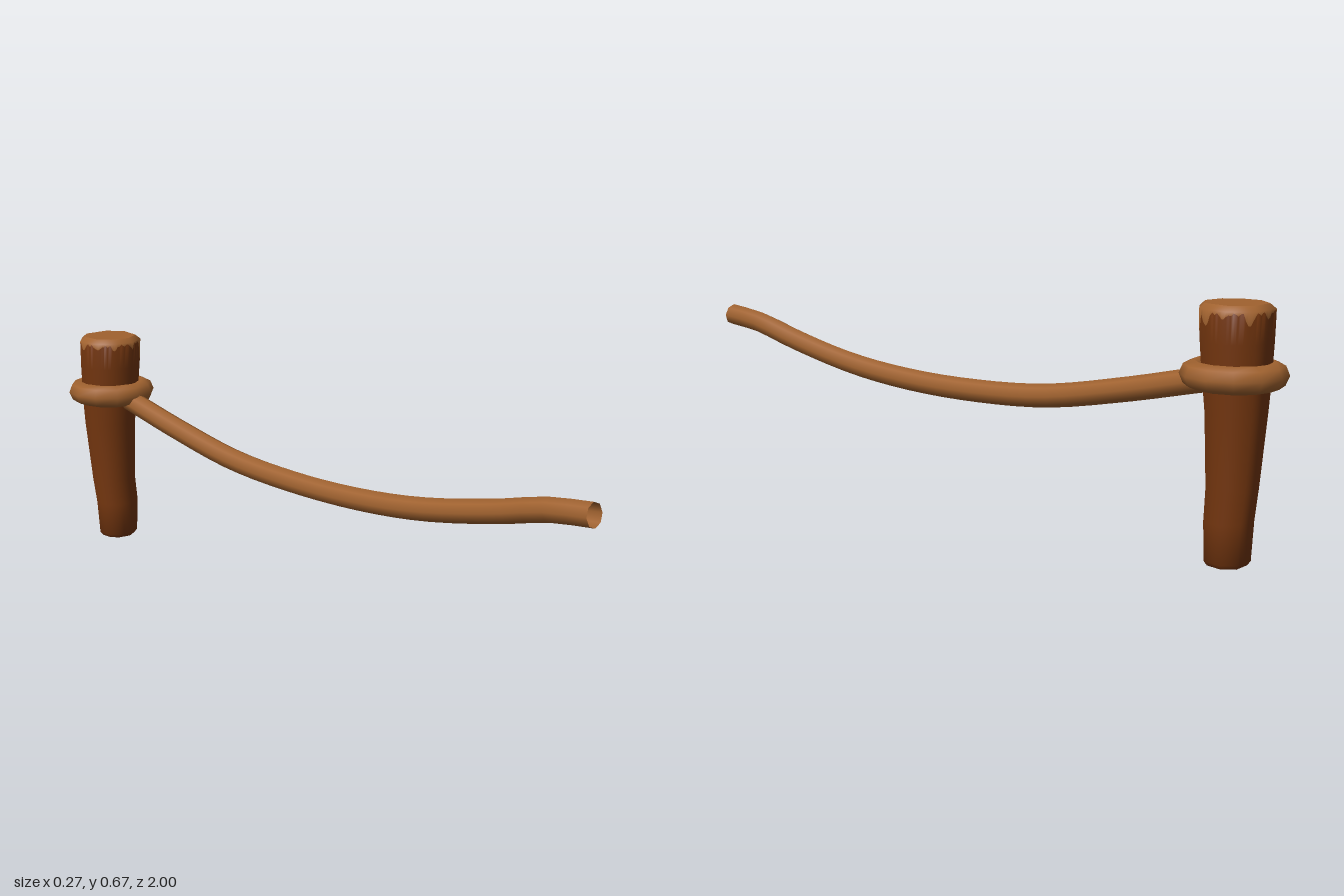
import * as THREE from 'three';

const POST_Z = -0.863;
// Post profile: height, centre x, half width, half depth
const PROFILE = [
  [0, 0.007, 0.052, 0.05], [0.012, 0.007, 0.061, 0.058], [0.115, 0.006, 0.067, 0.062],
  [0.2, -0.005, 0.068, 0.066], [0.39, -0.012, 0.08, 0.078], [0.45, -0.01, 0.085, 0.083],
  [0.52, -0.006, 0.09, 0.088], [0.62, -0.002, 0.096, 0.094], [0.652, -0.001, 0.095, 0.094],
  [0.665, 0, 0.078, 0.08],
];
// Uneven corner angles of the hewn post, in degrees from the front
const CORNERS = [8, 53, 106, 150, 207, 251, 292, 325];
const PER_SIDE = 12;

// Unit outline: straight sides between the corners
const outline = [];
CORNERS.forEach((deg, i) => {
  const a = THREE.MathUtils.degToRad(deg);
  const b = THREE.MathUtils.degToRad(CORNERS[(i + 1) % 8]);
  for (let k = 0; k < PER_SIDE; k++) {
    const p = new THREE.Vector2(Math.sin(a), Math.cos(a));
    outline.push(p.lerp(new THREE.Vector2(Math.sin(b), Math.cos(b)), k / PER_SIDE));
  }
});
const COUNT = outline.length;

function profileAt(y) {
  let i = 0;
  while (i < PROFILE.length - 2 && y > PROFILE[i + 1][0]) i++;
  const p = PROFILE[i], q = PROFILE[i + 1];
  const t = (y - p[0]) / (q[0] - p[0]);
  return p.map((v, k) => v + (q[k] - v) * t);
}

function postPoint(j, y) {
  const [, cx, rx, rz] = profileAt(y);
  const p = outline[j % COUNT];
  return new THREE.Vector3(cx + p.x * rx * 1.03, y, p.y * rz * 1.03);
}

// Skin between rows; each row gives a height for every outline point
function skin(rows) {
  const pos = [], nor = [], index = [];
  rows.forEach((row, r) => {
    for (let j = 0; j <= COUNT; j++) {
      const y = row(j % COUNT);
      const p = postPoint(j, y);
      const lo = profileAt(Math.max(y - 0.01, 0)), hi = profileAt(Math.min(y + 0.01, 0.665));
      const slope = (hi[2] - lo[2]) / (hi[0] - lo[0]);
      const o = outline[j % COUNT].clone().normalize();
      const n = new THREE.Vector3(o.x, -slope, o.y).normalize();
      pos.push(p.x, p.y, p.z);
      nor.push(n.x, n.y, n.z);
      if (r > 0 && j < COUNT) {
        const a = (r - 1) * (COUNT + 1) + j, b = a + COUNT + 1;
        index.push(a, a + 1, b + 1, a, b + 1, b);
      }
    }
  });
  const g = new THREE.BufferGeometry();
  g.setAttribute('position', new THREE.Float32BufferAttribute(pos, 3));
  g.setAttribute('normal', new THREE.Float32BufferAttribute(nor, 3));
  g.setIndex(index);
  return g;
}

// Flat end of the post
function endCap(y, up) {
  const shape = new THREE.Shape(outline.map((_, j) => {
    const p = postPoint(j, y);
    return new THREE.Vector2(p.x, up ? -p.z : p.z);
  }));
  return new THREE.ShapeGeometry(shape).rotateX(up ? -Math.PI / 2 : Math.PI / 2).translate(0, y, 0);
}

// Ragged lower edge of the bare wood: angle, half width (degrees), length
const DRIPS = [
  [12, 6, 0.018], [51, 6, 0.065], [66, 9, 0.035], [100, 7, 0.014], [141, 7, 0.032],
  [185, 8, 0.018], [222, 9, 0.03], [262, 7, 0.02], [300, 8, 0.012], [332, 7, 0.016],
];
function raggedEdge(j) {
  const deg = THREE.MathUtils.radToDeg(Math.atan2(outline[j].x, outline[j].y));
  let y = 0.645 + 0.004 * Math.sin(j * 1.9);
  for (const [a, w, len] of DRIPS) {
    const d = Math.abs(THREE.MathUtils.euclideanModulo(deg - a + 180, 360) - 180);
    if (d < w) y = Math.min(y, 0.645 - len * Math.sqrt(1 - d / w));
  }
  return y;
}

export function createModel() {
  const barkBrown = new THREE.MeshStandardMaterial({ color: 0x74360f });
  const ropeBrown = new THREE.MeshStandardMaterial({ color: 0xa0622f, side: THREE.DoubleSide });
  const model = new THREE.Group();
  const add = (parent, name, geometry, material) => {
    const mesh = new THREE.Mesh(geometry, material);
    mesh.name = name;
    parent.add(mesh);
    return mesh;
  };

  // Post with dark sides and a bare top
  const post = new THREE.Group();
  post.name = 'post';
  post.position.z = POST_Z;
  model.add(post);
  const barkRows = PROFILE.slice(0, 7).map(([y]) => () => y);
  add(post, 'postSides', skin([...barkRows, () => 0.57, raggedEdge]), barkBrown);
  add(post, 'postBottom', endCap(0, false), barkBrown);
  add(post, 'bareWoodEdge', skin([raggedEdge, () => 0.652, () => 0.665]), ropeBrown);
  add(post, 'postTop', endCap(0.665, true), ropeBrown);

  // Rope loop tied round the post
  const loop = add(model, 'ropeLoop', new THREE.TorusGeometry(0.101, 0.035, 8, 12).rotateX(Math.PI / 2), ropeBrown);
  loop.position.set(0, 0.486, POST_Z);

  // Sagging rope, open at its free end
  const path = new THREE.CatmullRomCurve3([
    [1, 0.477], [0.87, 0.462], [0.7, 0.42], [0.46, 0.373], [0.24, 0.351], [0, 0.346],
    [-0.28, 0.362], [-0.55, 0.412], [-0.76, 0.46], [-0.82, 0.473],
  ].map(([z, y]) => new THREE.Vector3(0.009, y, z)));
  add(model, 'rope', new THREE.TubeGeometry(path, 28, 0.033, 8), ropeBrown);

  return model;
}
